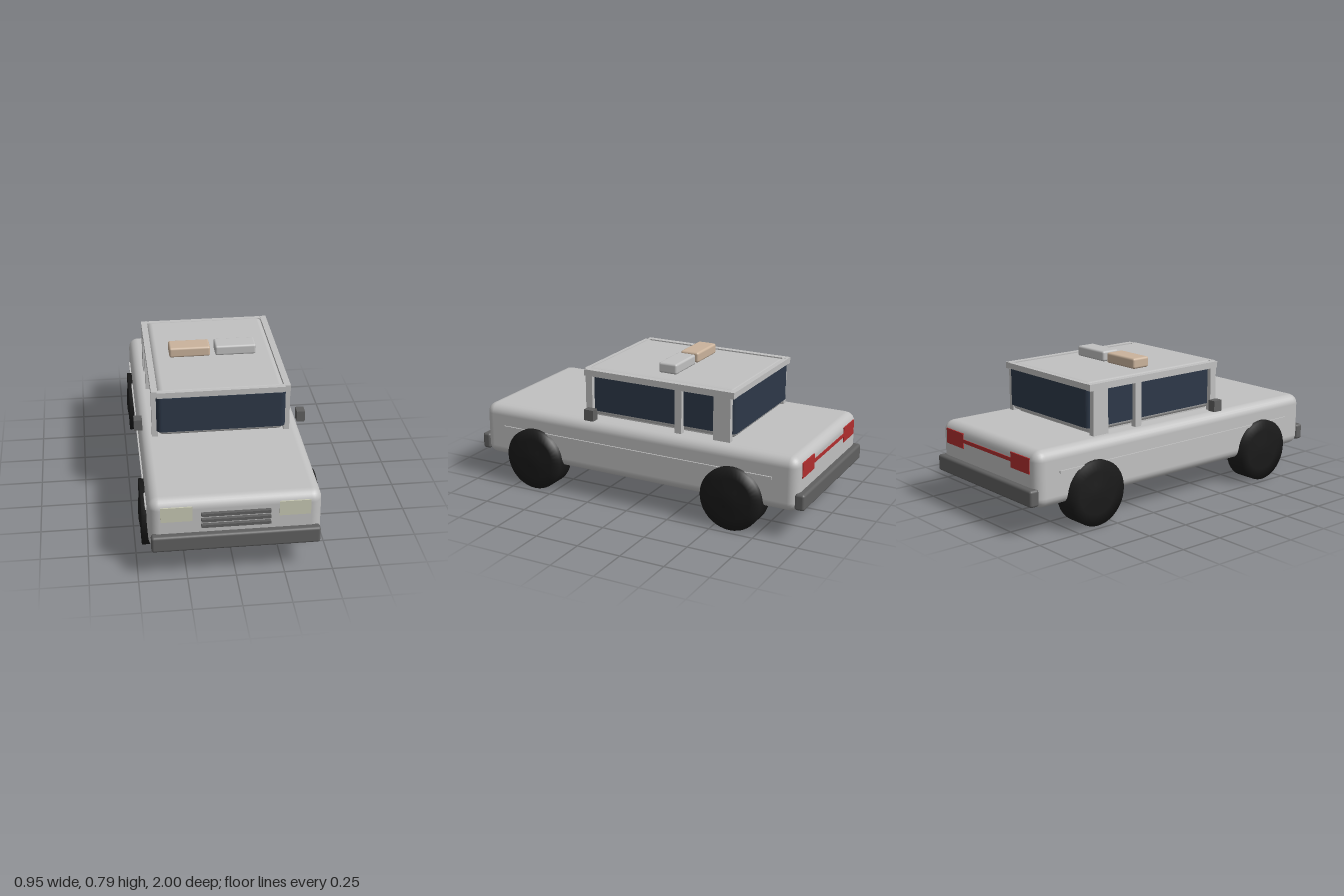
import * as THREE from 'three';
import { RoundedBoxGeometry } from 'three/addons/geometries/RoundedBoxGeometry.js';

const material = (name, color) => {
  const m = new THREE.MeshStandardMaterial({ color });
  m.name = name;
  return m;
};

export function createModel() {
  const paint = material('silver paint', 0xc0c0c0);
  const trim = material('dark trim', 0x606060);
  const glass = material('tinted glass', 0x2d3848);
  const rubber = material('tyre rubber', 0x1a1a1a);
  const lampCream = material('headlight cream', 0xc8c9b4);
  const lampRed = material('tail light red', 0xb02e2e);
  const amber = material('amber lens', 0xcab39c);

  const car = new THREE.Group();
  car.name = 'car';

  const add = (name, geometry, mat) => {
    const mesh = new THREE.Mesh(geometry, mat);
    mesh.name = name;
    car.add(mesh);
    return mesh;
  };
  // Boxes given by their limits; a radius rounds the edges
  const box = (name, mat, [x0, x1], [y0, y1], [z0, z1], radius = 0) => {
    const size = [x1 - x0, y1 - y0, z1 - z0];
    const geometry = radius
      ? new RoundedBoxGeometry(...size, 3, radius)
      : new THREE.BoxGeometry(...size);
    const mesh = add(name, geometry, mat);
    mesh.position.set((x0 + x1) / 2, (y0 + y1) / 2, (z0 + z1) / 2);
    return mesh;
  };
  // The same box on both sides
  const pair = (name, mat, [x0, x1], y, z, radius) => {
    box(name + 'Left', mat, [x0, x1], y, z, radius);
    box(name + 'Right', mat, [-x1, -x0], y, z, radius);
  };

  // Lower body and bumpers
  box('body', paint, [-0.44, 0.44], [0.15, 0.45], [-0.965, 0.965], 0.055);
  box('frontBumper', trim, [-0.43, 0.43], [0.17, 0.26], [0.95, 1], 0.014);
  box('rearBumper', trim, [-0.43, 0.43], [0.17, 0.26], [-1, -0.945], 0.014);
  pair('sideMoulding', paint, [0.43, 0.448], [0.32, 0.335], [-0.825, 0.83]);

  // Cabin shell
  box('cabin', paint, [-0.345, 0.345], [0.46, 0.726], [-0.57, 0.343], 0.035);
  box('cabinBase', paint, [-0.31, 0.31], [0.44, 0.48], [-0.53, 0.3]);

  // Band of glass around the cabin, rounded in plan
  const [w, back, front, r] = [0.35, -0.573, 0.347, 0.03];
  const plan = new THREE.Shape();
  plan.absarc(w - r, front - r, r, 0, Math.PI / 2);
  plan.absarc(-w + r, front - r, r, Math.PI / 2, Math.PI);
  plan.absarc(-w + r, back + r, r, Math.PI, Math.PI * 1.5);
  plan.absarc(w - r, back + r, r, Math.PI * 1.5, Math.PI * 2);
  const band = new THREE.ExtrudeGeometry(plan, { depth: 0.204, bevelEnabled: false, curveSegments: 4 });
  band.rotateX(Math.PI / 2);
  add('windowBand', band, glass).position.y = 0.692;

  // Pillars and roof rails
  const pillars = { frontPillar: [0.28, 0.32], middlePillar: [-0.27, -0.23], rearPillar: [-0.555, -0.457] };
  for (const [name, z] of Object.entries(pillars)) {
    pair(name, paint, [0.343, 0.375], [0.45, 0.7], z);
  }
  pair('roofRail', paint, [0.34, 0.375], [0.69, 0.725], [-0.575, 0.33]);
  box('frontRoofTrim', paint, [-0.345, 0.345], [0.692, 0.724], [0.31, 0.343]);
  box('rearRoofTrim', paint, [-0.345, 0.345], [0.692, 0.724], [-0.575, -0.545]);

  // Roof lamps
  box('amberRoofLamp', amber, [-0.245, -0.015], [0.727, 0.785], [-0.172, -0.062], 0.012);
  box('silverRoofLamp', paint, [0.013, 0.243], [0.727, 0.785], [-0.172, -0.062], 0.012);

  // Door mirrors
  pair('mirror', trim, [0.424, 0.469], [0.468, 0.53], [0.22, 0.277]);

  // Head lamps, grille and tail lamps
  pair('headlight', lampCream, [0.22, 0.38], [0.33, 0.413], [0.962, 0.969]);
  for (const y of [0.302, 0.335, 0.368]) {
    box('grilleBar', trim, [-0.176, 0.176], [y - 0.008, y + 0.008], [0.963, 0.984]);
  }
  pair('tailLight', lampRed, [0.22, 0.38], [0.33, 0.413], [-0.969, -0.962]);
  box('tailLightStrip', lampRed, [-0.22, 0.22], [0.362, 0.382], [-0.969, -0.962]);

  // Wheels with slightly domed faces
  const half = [[0, 0.0675], [0.045, 0.0675], [0.115, 0.0575], [0.175, 0.0575]];
  const flip = half.map(([radius, x]) => [radius, -x]);
  const profile = [...flip, ...half.reverse()].map(([a, b]) => new THREE.Vector2(a, b));
  const wheelGeometry = new THREE.LatheGeometry(profile, 40).rotateZ(-Math.PI / 2);
  for (const [end, z] of [['front', 0.622], ['rear', -0.602]]) {
    for (const [side, x] of [['Left', 0.4075], ['Right', -0.4075]]) {
      add(`${end}Wheel${side}`, wheelGeometry, rubber).position.set(x, 0.175, z);
    }
  }

  return car;
}
